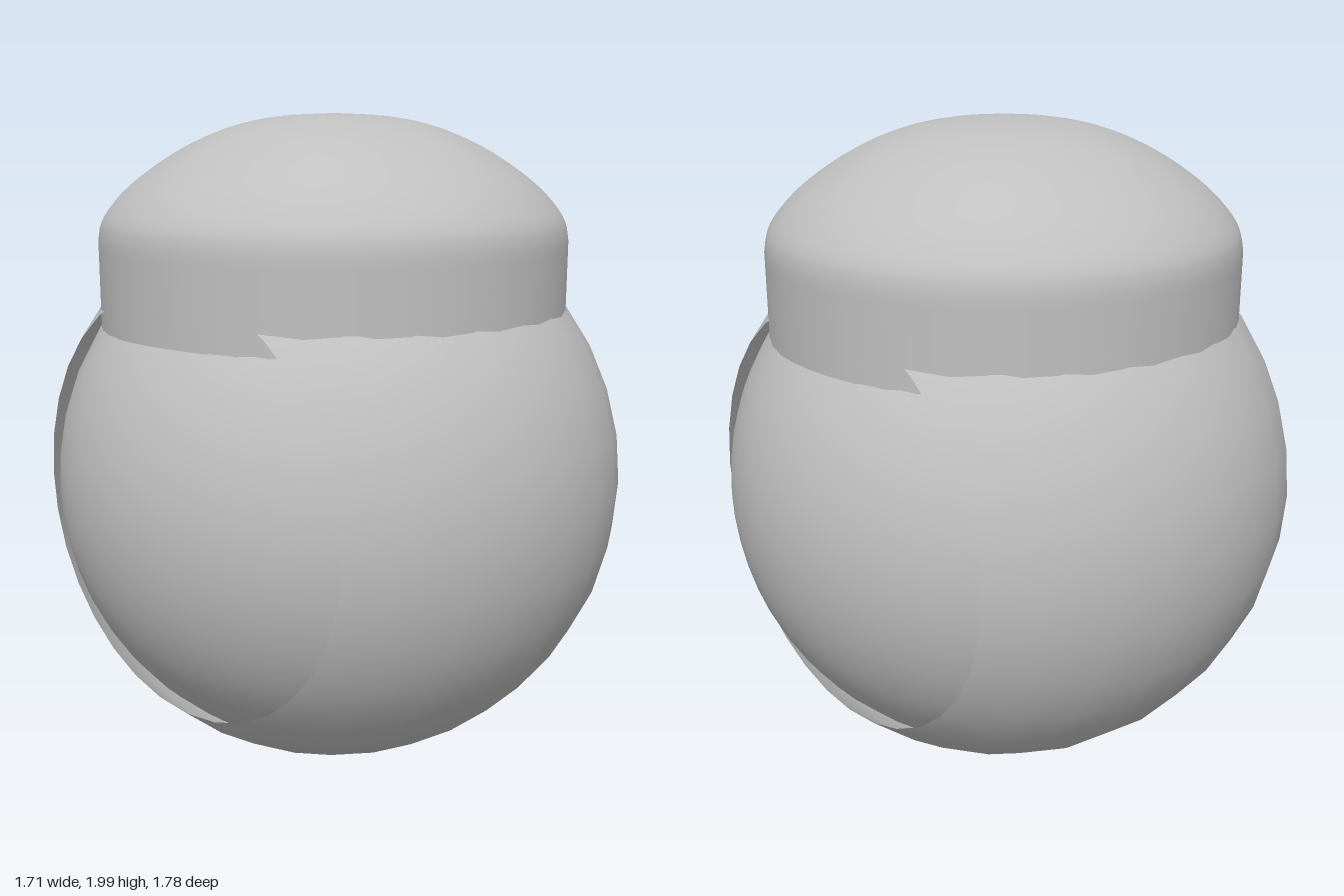
import * as THREE from 'three';

export function createModel() {
  const group = new THREE.Group();
  const grey = new THREE.MeshStandardMaterial({ color: 0xc0c0c0, side: THREE.DoubleSide });
  grey.name = 'plain grey';

  const add = (name, geometry, y = 0) => {
    const mesh = new THREE.Mesh(geometry, grey);
    mesh.name = name;
    mesh.position.y = y;
    group.add(mesh);
  };

  const centreY = 0.897;

  // Inner ball, showing through the side openings
  add('innerBall', new THREE.SphereGeometry(0.855, 32, 32).rotateZ(Math.PI / 2), centreY);

  // Open outer shell: a sphere band with its axis along x, cut off at both sides
  add('outerShell',
    new THREE.SphereGeometry(0.89, 32, 8, 0, Math.PI * 2, Math.PI / 4, Math.PI / 2).rotateZ(Math.PI / 2),
    centreY);

  // Lid: straight wall with a low rounded dome
  const dome = new THREE.CatmullRomCurve3([
    [0.71, 1.63], [0.7, 1.68], [0.665, 1.735], [0.6, 1.8], [0.46, 1.895],
    [0.31, 1.96], [0.17, 1.99], [0, 2],
  ].map(([x, y]) => new THREE.Vector3(x, y, 0))).getPoints(20);
  const profile = [
    new THREE.Vector2(0.71, 1.3),
    new THREE.Vector2(0.71, 1.6),
    ...dome.map((p) => new THREE.Vector2(Math.max(p.x, 0), p.y)),
  ];
  add('lid', new THREE.LatheGeometry(profile, 48));

  return group;
}
